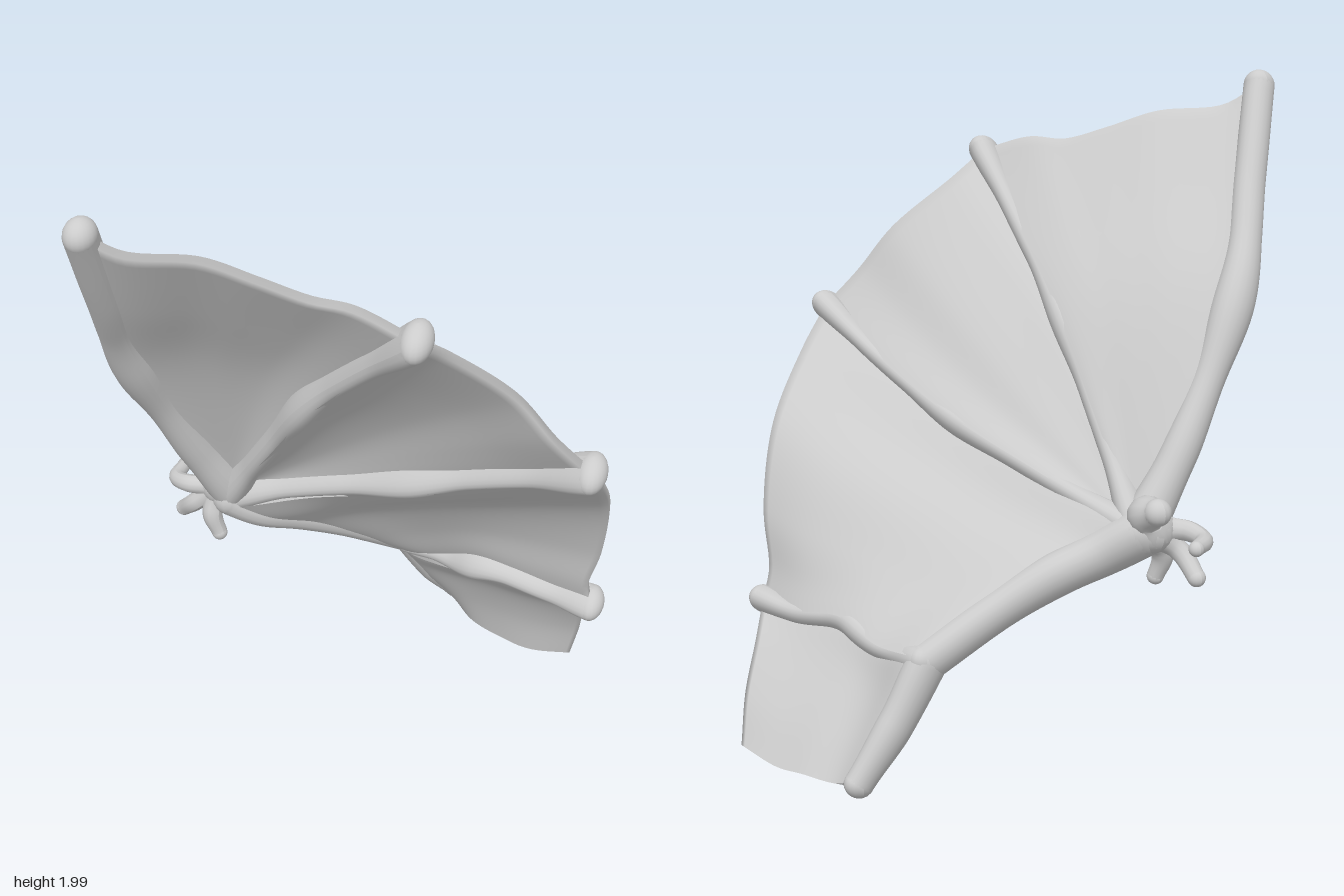
import * as THREE from 'three';
import { mergeGeometries } from 'three/addons/utils/BufferGeometryUtils.js';

const V = (p) => new THREE.Vector3(...p);
const curve = (...pts) => new THREE.CatmullRomCurve3(pts.map(V), false, 'centripetal');
const grey = new THREE.MeshStandardMaterial({ color: 0xcccccc });
const skin = new THREE.MeshStandardMaterial({ color: 0xcccccc, side: THREE.DoubleSide });
const BACK = V([-0.5, 0.48, -0.72]).normalize(); // overall direction of the wing's back

// Smoothly interpolated radius along a limb
function radiusAt(radii, t) {
  const f = t * (radii.length - 1);
  const i = Math.min(Math.floor(f), radii.length - 2);
  return THREE.MathUtils.lerp(radii[i], radii[i + 1], THREE.MathUtils.smoothstep(f - i, 0, 1));
}

// Tube with varying radius and round ends, deepened through the wing by a factor
function limb(name, path, radii, depth = 1, segments = 48, sides = 20) {
  const tube = new THREE.TubeGeometry(path, segments, 1, sides);
  const ends = [0, 1].map((t) => {
    const c = path.getPointAt(t);
    return new THREE.SphereGeometry(1, 20, 14).translate(c.x, c.y, c.z);
  });
  const p = new THREE.Vector3();
  const shape = (g, tOf) => {
    const pos = g.attributes.position;
    for (let i = 0; i < pos.count; i++) {
      const t = tOf(i), c = path.getPointAt(t);
      p.fromBufferAttribute(pos, i).sub(c).multiplyScalar(radiusAt(radii, t));
      p.addScaledVector(BACK, p.dot(BACK) * (depth - 1)).add(c);
      pos.setXYZ(i, p.x, p.y, p.z);
    }
    g.computeVertexNormals();
  };
  shape(tube, (i) => Math.floor(i / (sides + 1)) / segments);
  ends.forEach((g, t) => shape(g, () => t));
  const mesh = new THREE.Mesh(mergeGeometries([tube, ...ends]), grey);
  mesh.name = name;
  return mesh;
}

// Coons patch between two bones (a, b), an inner edge and an outer edge
function patchPoint(s, u, v) {
  const P = (c, t) => c.getPointAt(t);
  const out = P(s.a, u).multiplyScalar(1 - v).addScaledVector(P(s.b, u), v);
  out.addScaledVector(s.inner ? P(s.inner, v) : P(s.a, 0), 1 - u).addScaledVector(P(s.outer, v), u);
  out.addScaledVector(P(s.a, 0), -(1 - u) * (1 - v)).addScaledVector(P(s.a, 1), -u * (1 - v));
  out.addScaledVector(P(s.b, 0), -(1 - u) * v).addScaledVector(P(s.b, 1), -u * v);
  // pleat: the skin meets each bone slightly to its front or back
  const fold = THREE.MathUtils.lerp(s.fold[0], s.fold[1], v) + 0.008 * Math.sin(Math.PI * v);
  return out.addScaledVector(BACK, fold * Math.sin(Math.PI * u));
}

// Half thickness: fuller beside the bones and arm, and swelling towards the root
function halfThickness(s, u, v) {
  const near = (d, w) => Math.exp(-((d / w) ** 2));
  const beside = near(v, 0.2) + (s.root ? 0 : near(1 - v, 0.2));
  const arm = s.inner ? 0.048 * near(u, 0.19) * (s.root ? 1 - v * v : 1) : 0;
  const root = s.root ? v * v * (0.035 + 0.02 * Math.sin(Math.PI * u)) : 0;
  return 0.012 + arm + 0.022 * beside * Math.sin(Math.PI * (0.15 + u * 0.85)) + root;
}

// Thin closed skin: front and back sheets joined along both edges
function membrane(name, s, nu = 36, nv = 36) {
  const pos = [], index = [];
  const ring = 2 * (nu + 1);
  for (let j = 0; j <= nv; j++) {
    for (let k = 0; k < ring; k++) {
      const front = k <= nu;
      const u = (front ? k : ring - 1 - k) / nu, v = j / nv;
      const p = patchPoint(s, u, v).addScaledVector(BACK, (front ? -1 : 1) * halfThickness(s, u, v));
      pos.push(p.x, p.y, p.z);
      if (j < nv) {
        const a = j * ring + k, b = j * ring + ((k + 1) % ring);
        index.push(a, b, a + ring, b, b + ring, a + ring);
      }
    }
  }
  // flat cut at the root, on its own vertices so the rim stays sharp
  if (s.root) {
    const start = pos.length / 3;
    pos.push(...pos.slice(nv * ring * 3));
    for (let k = 0; k < nu; k++) {
      const a = start + k, b = start + ring - 1 - k;
      index.push(a, a + 1, b, a + 1, b - 1, b);
    }
  }
  const g = new THREE.BufferGeometry();
  g.setAttribute('position', new THREE.Float32BufferAttribute(pos, 3));
  g.setIndex(index);
  g.computeVertexNormals();
  const mesh = new THREE.Mesh(g, skin);
  mesh.name = name;
  return mesh;
}

export function createModel() {
  const wing = new THREE.Group();
  wing.name = 'wing';
  const wrist = [-0.48, 0.75, 0.17], elbow = [-0.31, 0.42, -0.415];
  const tipA = [-0.16, 1.95, 0.775], tipB = [0.465, 1.73, 0.19];
  const tipC = [0.66, 1.25, -0.27], tipD = [0.35, 0.43, -0.635];
  const rootIn = [-0.31, 0.1, -0.63], rootOut = [0.14, 0.06, -0.78];

  // Finger bones, arm and elbow spur
  const A = curve(wrist, [-0.47, 1.02, 0.335], [-0.395, 1.42, 0.55], [-0.27, 1.69, 0.67], tipA);
  const B = curve(wrist, [-0.26, 1.02, 0.18], [-0.01, 1.32, 0.185], [0.22, 1.53, 0.185], tipB);
  const C = curve(wrist, [-0.2, 0.87, 0.02], [0.1, 0.99, -0.115], [0.4, 1.13, -0.215], tipC);
  const D = curve(elbow, [-0.14, 0.41, -0.465], [0.02, 0.445, -0.5], [0.2, 0.425, -0.585], tipD);
  const forearm = curve(wrist, [-0.425, 0.69, 0.08], [-0.385, 0.63, -0.06], [-0.345, 0.54, -0.22], elbow);
  const upperArm = curve(elbow, [-0.31, 0.26, -0.51], rootIn);
  wing.add(
    limb('leadingFinger', A, [0.065, 0.053, 0.045, 0.06, 0.047, 0.046, 0.045], 1.15),
    limb('middleFinger', B, [0.05, 0.034, 0.034, 0.046, 0.034, 0.034, 0.044], 1.5),
    limb('trailingFinger', C, [0.05, 0.034, 0.034, 0.044, 0.032, 0.032, 0.044], 1.5),
    limb('elbowSpur', D, [0.05, 0.034, 0.046, 0.034, 0.034, 0.042], 1.5),
    limb('forearm', forearm, [0.07, 0.062, 0.054, 0.054], 1.3),
    limb('upperArm', upperArm, [0.055, 0.05, 0.04], 1.3),
  );

  // Scalloped trailing edges between the tips
  const edgeAB = curve(tipA, [-0.11, 1.89, 0.69], [0, 1.87, 0.53], [0.1, 1.82, 0.42],
    [0.2, 1.78, 0.33], [0.31, 1.78, 0.27], tipB);
  const edgeBC = curve(tipB, [0.465, 1.65, 0.08], [0.54, 1.5, -0.09], [0.61, 1.36, -0.18], tipC);
  const edgeCD = curve(tipC, [0.6, 1.13, -0.38], [0.49, 0.93, -0.53], [0.41, 0.69, -0.6],
    [0.355, 0.52, -0.61], tipD);
  const edgeDRoot = curve(tipD, [0.27, 0.34, -0.69], [0.2, 0.2, -0.75], rootOut);
  const rootLine = curve(rootIn, [-0.22, 0.06, -0.64], [-0.1, 0.045, -0.68], [0, 0.035, -0.72], rootOut);

  wing.add(
    membrane('upperMembrane', { a: A, b: B, outer: edgeAB, fold: [0.005, 0.032] }),
    membrane('middleMembrane', { a: B, b: C, outer: edgeBC, fold: [-0.028, 0.03] }),
    membrane('lowerMembrane', { a: C, b: D, inner: forearm, outer: edgeCD, fold: [-0.028, 0.03] }),
    membrane('rootMembrane', { a: D, b: rootLine, inner: upperArm, outer: edgeDRoot, fold: [-0.025, 0], root: true }),
  );

  // Small clawed hand at the wrist
  const hand = new THREE.Group();
  hand.name = 'hand';
  const palm = [-0.5, 0.765, 0.195];
  [
    [curve(palm, [-0.53, 0.82, 0.16], [-0.592, 0.845, 0.155]), [0.07, 0.055, 0.039]],
    [curve(palm, [-0.56, 0.765, 0.275], [-0.63, 0.755, 0.285], [-0.68, 0.755, 0.225]), [0.05, 0.03, 0.026, 0.022]],
    [curve(palm, [-0.55, 0.7, 0.265], [-0.615, 0.642, 0.275]), [0.05, 0.03, 0.026]],
    [curve(palm, [-0.49, 0.68, 0.245], [-0.47, 0.61, 0.235]), [0.05, 0.033, 0.025]],
  ].forEach(([path, radii], i) => hand.add(limb('claw' + (i + 1), path, radii, 1, 24, 12)));
  wing.add(hand);
  return wing;
}
